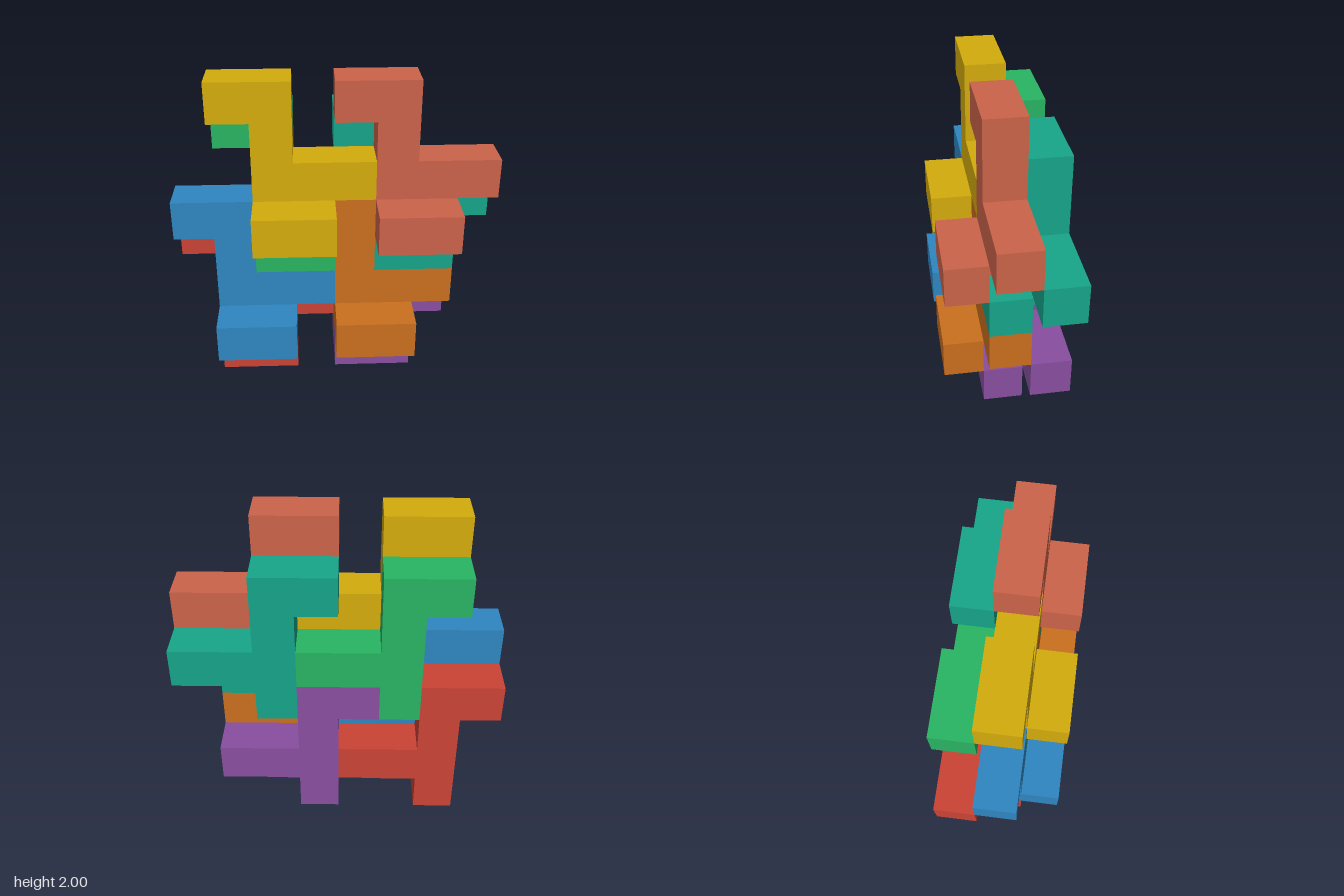
import * as THREE from 'three';

const U = 0.25; // edge of one unit cube

// Flat body of a piece: stem with a hook at the top left and an arm to the right
function bodyGeometry() {
  const outline = [[0, 0], [1, 0], [1, 1], [3, 1], [3, 2], [1, 2], [1, 4], [-1, 4], [-1, 3], [0, 3]];
  const shape = new THREE.Shape(outline.map(([x, y]) => new THREE.Vector2(x * U, y * U)));
  return new THREE.ExtrudeGeometry(shape, { depth: U, bevelEnabled: false });
}

// Two-cube bar standing out in front of the foot of the stem
function barGeometry() {
  return new THREE.BoxGeometry(2 * U, U, U).translate(U, U / 2, 1.5 * U);
}

export function createModel() {
  const model = new THREE.Group();
  model.name = 'interlockingPuzzle';
  const body = bodyGeometry();
  const bar = barGeometry();

  // Name, colour, and the cube position of the stem's foot (column, row, layer)
  const pieces = [
    ['yellowPiece', 0xd4ac0d, -2, 4, 0],
    ['coralPiece', 0xcb6349, 1, 4, 0],
    ['bluePiece', 0x2e86c1, -3, 1, 0],
    ['orangePiece', 0xca6f1e, 0, 1, 0],
    ['greenPiece', 0x28b463, -2, 3, -1],
    ['tealPiece', 0x17a589, 1, 3, -1],
    ['redPiece', 0xcb4335, -3, 0, -1],
    ['purplePiece', 0x884ea0, 0, 0, -1],
  ];

  for (const [name, color, column, row, layer] of pieces) {
    const material = new THREE.MeshStandardMaterial({ color });
    const piece = new THREE.Group();
    piece.name = name;
    const bodyMesh = new THREE.Mesh(body, material);
    bodyMesh.name = 'body';
    const barMesh = new THREE.Mesh(bar, material);
    barMesh.name = 'frontBar';
    piece.add(bodyMesh, barMesh);
    piece.position.set(column * U, row * U, (layer - 0.5) * U);
    model.add(piece);
  }
  return model;
}
